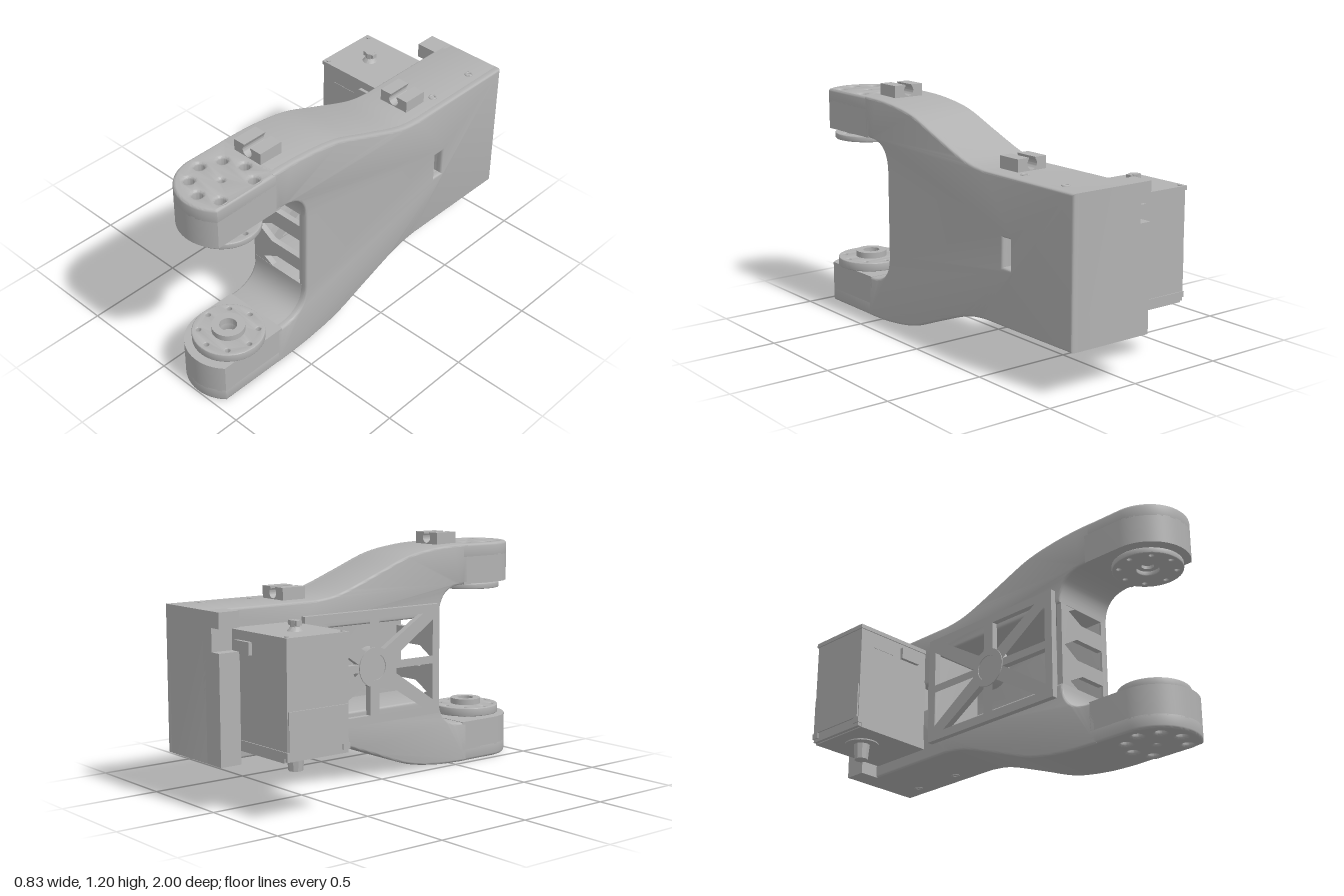
import * as THREE from 'three';
import { toCreasedNormals } from 'three/addons/utils/BufferGeometryUtils.js';

const grey = new THREE.MeshStandardMaterial({ color: 0xb2b2b2 });
grey.name = 'grey plastic';

const MID = 0.5725; // height of the fork's mirror plane
const PIVOT = { x: 0.24, z: 0.79 };
const RIM = 0.14; // radius of the screw circle

export function createModel() {
  const model = new THREE.Group();
  model.name = 'jointBracket';

  const add = (name, geo, x = 0, y = 0, z = 0) => {
    const mesh = new THREE.Mesh(geo, grey);
    mesh.name = name;
    mesh.position.set(x, y, z);
    model.add(mesh);
    return mesh;
  };
  const box = (name, x0, x1, y0, y1, z0, z1) =>
    add(name, new THREE.BoxGeometry(x1 - x0, y1 - y0, z1 - z0), (x0 + x1) / 2, (y0 + y1) / 2, (z0 + z1) / 2);
  const cyl = (name, rTop, rBottom, x, y0, y1, z, sides = 24) =>
    add(name, toCreasedNormals(new THREE.CylinderGeometry(rTop, rBottom, y1 - y0, sides), 0.6), x, (y0 + y1) / 2, z);
  const shapeOf = pts => new THREE.Shape(pts.map(([u, v]) => new THREE.Vector2(u, v)));
  const pathOf = pts => new THREE.Path(pts.map(([u, v]) => new THREE.Vector2(u, v)));
  const disc = (u, v, r) => new THREE.Path().absarc(u, v, r, 0, Math.PI * 2, true);
  const extrude = (shape, depth, bevel = 0) => {
    const geo = new THREE.ExtrudeGeometry(shape, {
      depth: depth - 2 * bevel, curveSegments: 20, bevelEnabled: bevel > 0,
      bevelSize: bevel, bevelThickness: bevel, bevelOffset: -bevel, bevelSegments: 3,
    });
    return toCreasedNormals(geo.translate(0, 0, bevel), 0.6);
  };
  // Side profiles use (-z, y) and run along x; plan profiles use (x, -z) and run along y
  const alongX = (name, shape, x0, x1, bevel) =>
    add(name, extrude(shape, x1 - x0, bevel).rotateY(Math.PI / 2), x0);
  const alongY = (name, shape, y0, y1, bevel) =>
    add(name, extrude(shape, y1 - y0, bevel).rotateX(-Math.PI / 2), 0, y0);

  // Fork body: half profile in (z, y), mirrored about the middle height
  const fillet = new THREE.QuadraticBezierCurve(
    new THREE.Vector2(0.41, 0.36), new THREE.Vector2(0.41, 0.208), new THREE.Vector2(0.57, 0.208)).getPoints(12);
  const slope = new THREE.SplineCurve([[0.56, 0], [0.4, 0.008], [0.2, 0.04], [0, 0.113], [-0.18, 0.18], [-0.28, 0.208], [-0.38, 0.22]]
    .map(p => new THREE.Vector2(...p))).getPoints(30);
  const outer = [...fillet.map(p => [p.x, p.y]), [0.61, 0.208], [0.61, 0], ...slope.map(p => [p.x, p.y]), [-1, 0.22]];
  const profile = half => {
    const upper = half.map(([z, y]) => [z, 2 * MID - y]).reverse();
    const shape = shapeOf([...half, ...upper].map(([z, y]) => [-z, y]));
    shape.holes.push(pathOf([[0.515, 0.5], [0.515, 0.64], [0.57, 0.64], [0.57, 0.5]]));
    return shape;
  };
  alongX('forkBody', profile([[-0.45, 0.36], ...outer]), 0.03, 0.36, 0.012);
  alongX('sideSkin', profile(outer), 0.335, 0.38, 0.012);

  // Wall inside the fork with three arrow-shaped openings
  const wall = shapeOf([[0.04, 0.325], [0.36, 0.325], [0.36, 0.82], [0.04, 0.82]]);
  for (const [y, tip] of [[0.39, 0.095], [0.57, 0.06], [0.76, 0.095]]) {
    const h = y === 0.57 ? 0.055 : 0.049;
    wall.holes.push(pathOf([[tip, y], [tip + 0.09, y + h], [0.335, y + h], [0.335, y - h], [tip + 0.09, y - h]]));
  }
  add('innerWall', extrude(wall, 0.03), 0, 0, 0.379);

  // Rounded arm tips with counterbored screw holes
  const tip = (holeRadius, centreRadius) => {
    const a = Math.acos(0.14 / 0.21);
    const s = new THREE.Shape();
    s.moveTo(0.38, -0.575).lineTo(0.03, -0.575).lineTo(0.03, -PIVOT.z);
    s.absarc(PIVOT.x, -PIVOT.z, 0.21, Math.PI, 2 * Math.PI - a, false);
    for (let i = 1; i < 8; i++) {
      const t = i * Math.PI / 4;
      s.holes.push(disc(PIVOT.x + RIM * Math.cos(t), -PIVOT.z + RIM * Math.sin(t), holeRadius));
    }
    s.holes.push(disc(PIVOT.x, -PIVOT.z, centreRadius));
    return s;
  };
  alongY('lowerTipOuter', tip(0.024, 0.012), 0, 0.08, 0.014);
  alongY('lowerTipInner', tip(0.012, 0.012), 0.06, 0.21);
  alongY('upperTipOuter', tip(0.024, 0.012), 1.065, 1.145, 0.014);
  alongY('upperTipInner', tip(0.012, 0.012), 0.937, 1.085);

  // Pivot discs facing each other across the fork
  const ring = (r, bore, holes) => {
    const s = new THREE.Shape().absarc(PIVOT.x, -PIVOT.z, r, 0, Math.PI * 2, false);
    s.holes.push(disc(PIVOT.x, -PIVOT.z, bore));
    for (let i = 0; i < holes; i++) {
      const t = i * Math.PI / 4;
      s.holes.push(disc(PIVOT.x + RIM * Math.cos(t), -PIVOT.z + RIM * Math.sin(t), 0.012));
    }
    return s;
  };
  alongY('lowerPivotDisc', ring(0.173, 0.042, 8), 0.215, 0.26, 0.004);
  alongY('lowerPivotHub', ring(0.08, 0.042, 0), 0.255, 0.29);
  alongY('lowerPivotSeat', ring(0.12, 0.03, 0), 0.2, 0.22);
  alongY('upperPivotDisc', ring(0.173, 0.055, 8), 0.898, 0.928, 0.004);
  alongY('upperPivotSeat', ring(0.12, 0.03, 0), 0.92, 0.945);

  // Cable clips: two jaws around a round channel
  const clipShape = () => {
    const s = new THREE.Shape();
    s.moveTo(0.122, -0.01).lineTo(0.287, -0.01).lineTo(0.287, 0.06).lineTo(0.222, 0.06).lineTo(0.222, 0.05);
    s.absarc(0.204, 0.032, 0.028, Math.PI / 4, 3 * Math.PI / 4 - 2 * Math.PI, true);
    s.lineTo(0.186, 0.06).lineTo(0.122, 0.06);
    return s;
  };
  add('frontCableClip', extrude(clipShape(), 0.13), 0, 1.143, 0.47);
  add('rearCableClip', extrude(clipShape(), 0.13), 0, 0.925, -0.51);

  // Screw heads on the top and bottom of the body
  for (const z of [-0.85, -0.57]) for (const y of [0.925, 0.22]) {
    const screw = add('bodyScrew', new THREE.TorusGeometry(0.016, 0.005, 8, 20), 0.295, y, z);
    screw.rotation.x = Math.PI / 2;
  }

  // Rear flange with a notch for the cable plug
  add('rearFlange', extrude(shapeOf([[0.06, 0.22], [-0.07, 0.22], [-0.07, 0.74], [-0.01, 0.74], [-0.01, 0.85],
    [-0.07, 0.85], [-0.07, 0.925], [0.06, 0.925]]), 0.11), 0, 0, -1);

  // Ribbed cover plate with triangular windows and a round boss
  const coverZ = -0.045;
  const cover = shapeOf([[0.47, 0.29], [-0.38, 0.29], [-0.38, 0.855], [0.47, 0.855]]);
  for (const sz of [-1, 1]) for (const sy of [-1, 1]) {
    const at = ([u, v]) => [-(coverZ + sz * u), MID + sy * v];
    cover.holes.push(pathOf([[0.1, 0.02], [0.38, 0.02], [0.38, 0.205]].map(at)));
    cover.holes.push(pathOf([[0.03, 0.065], [0.03, 0.24], [0.315, 0.24]].map(at)));
  }
  alongX('coverPlate', cover, 0, 0.034);
  const boss = new THREE.Shape().absarc(-coverZ, MID, 0.1, 0, Math.PI * 2, false);
  boss.holes.push(disc(-coverZ, MID, 0.065));
  alongX('coverBoss', boss, -0.005, 0.05);
  const hub = new THREE.Shape().absarc(-coverZ, MID, 0.04, 0, Math.PI * 2, false);
  hub.holes.push(disc(-coverZ, MID, 0.018));
  alongX('coverHub', hub, 0, 0.05);

  // Servo motor case
  box('servoCase', -0.408, 0.035, 0.285, 0.82, -0.875, -0.535);
  box('servoLid', -0.414, 0.03, 0.815, 0.836, -0.88, -0.53);
  box('servoSidePanel', -0.415, -0.395, 0.33, 0.51, -0.87, -0.54);
  box('servoBase', -0.39, 0.03, 0.28, 0.33, -0.88, -0.53);
  for (const z of [-0.86, -0.55]) {
    box('servoFoot', -0.414, -0.345, 0.302, 0.33, z - 0.02, z + 0.02);
    for (const x of [-0.388, 0.012]) cyl('servoScrew', 0.011, 0.011, x, 0.83, 0.841, z, 12);
  }
  box('frontPlug', -0.145, -0.03, 0.73, 0.79, -0.54, -0.517);
  box('rearPlug', -0.145, -0.03, 0.73, 0.79, -0.893, -0.87);
  box('caseSlit', -0.33, -0.195, 0.733, 0.738, -0.54, -0.533);

  // Servo output shafts above and below
  cyl('topShaftBase', 0.022, 0.04, -0.24, 0.833, 0.855, -0.705);
  cyl('topShaft', 0.024, 0.022, -0.24, 0.85, 0.885, -0.705, 8);
  box('topShaftKey', -0.273, -0.207, 0.862, 0.884, -0.72, -0.69);
  cyl('bottomShaftSeat', 0.085, 0.085, -0.235, 0.274, 0.285, -0.705);
  cyl('bottomShaft', 0.042, 0.034, -0.235, 0.196, 0.28, -0.705, 10);

  return model;
}
